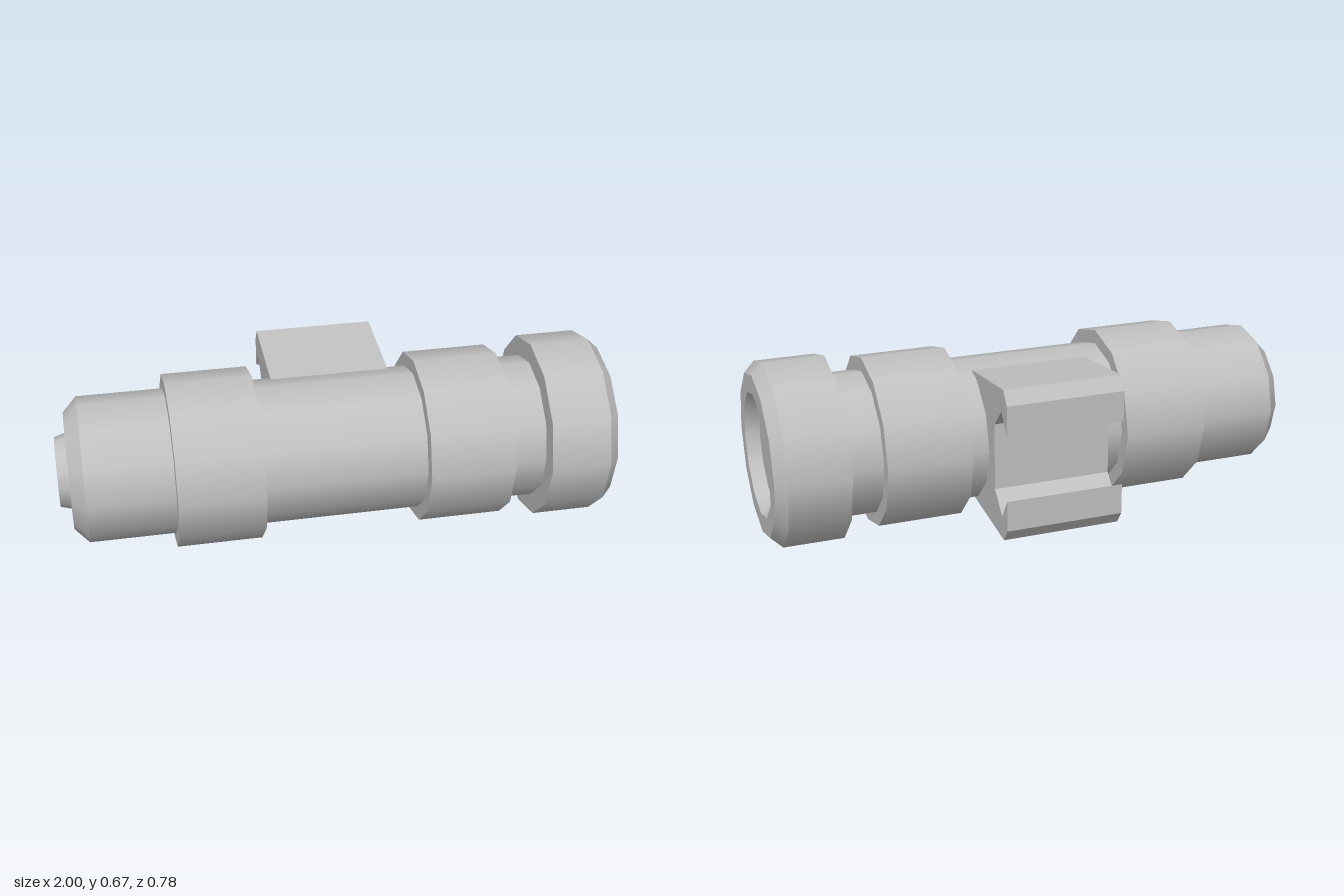
import * as THREE from 'three';
import { mergeGeometries } from 'three/addons/utils/BufferGeometryUtils.js';

const SIDES = 12;

// Revolves a profile of [x, radius] points around the x axis; every profile segment keeps hard ends.
function turned(profile) {
  const bands = [];
  for (let i = 0; i < profile.length - 1; i++) {
    const pts = [profile[i], profile[i + 1]].map(([x, r]) => new THREE.Vector2(r, x));
    bands.push(new THREE.LatheGeometry(pts, SIDES));
  }
  return mergeGeometries(bands).rotateZ(-Math.PI / 2);
}

export function createModel() {
  const group = new THREE.Group();
  const grey = new THREE.MeshStandardMaterial({ color: 0xc0c0c0 });
  grey.name = 'light grey';

  const add = (name, geometry, x, y, z) => {
    const mesh = new THREE.Mesh(geometry, grey);
    mesh.name = name;
    mesh.position.set(x, y, z);
    group.add(mesh);
  };
  const addTurned = (name, profile) => add(name, turned(profile), 0, 0.337, 0.055);

  // Tail button
  addTurned('tailButton', [[-1, 0], [-1, 0.125], [-0.96, 0.137]]);

  // Main tube with bevelled tail
  addTurned('body', [[-0.96, 0], [-0.96, 0.21], [-0.91, 0.263], [0.74, 0.263]]);

  // Two raised collars
  for (const [name, a, b] of [['rearCollar', -0.6, -0.29], ['frontCollar', 0.3, 0.61]]) {
    addTurned(name, [[a, 0.26], [a, 0.314], [b, 0.314], [b, 0.26]]);
  }

  // Lamp head with bevelled rim and recessed lens
  addTurned('head', [[0.74, 0.26], [0.74, 0.337], [0.96, 0.337], [1, 0.297], [1, 0.227]]);
  addTurned('lensRecess', [[1, 0.227], [0.95, 0.203]]);
  addTurned('lens', [[0.95, 0.203], [0.95, 0]]);

  // Rail clamp: upper half of the section as [distance to the back, height from axis], mirrored below
  const upper = [[0.03, 0.246], [0.355, 0.282], [0.39, 0.233], [0.39, 0.12], [0.337, 0.197], [0.264, 0.123]];
  const lower = upper.map(([d, h]) => [d, -h]).reverse();
  const section = new THREE.Shape([...upper, ...lower].map(([d, h]) => new THREE.Vector2(d, h)));
  const clamp = new THREE.ExtrudeGeometry(section, { depth: 0.435, bevelEnabled: false }).rotateY(Math.PI / 2);
  add('railClamp', clamp, -0.21, 0.338, 0);

  return group;
}
